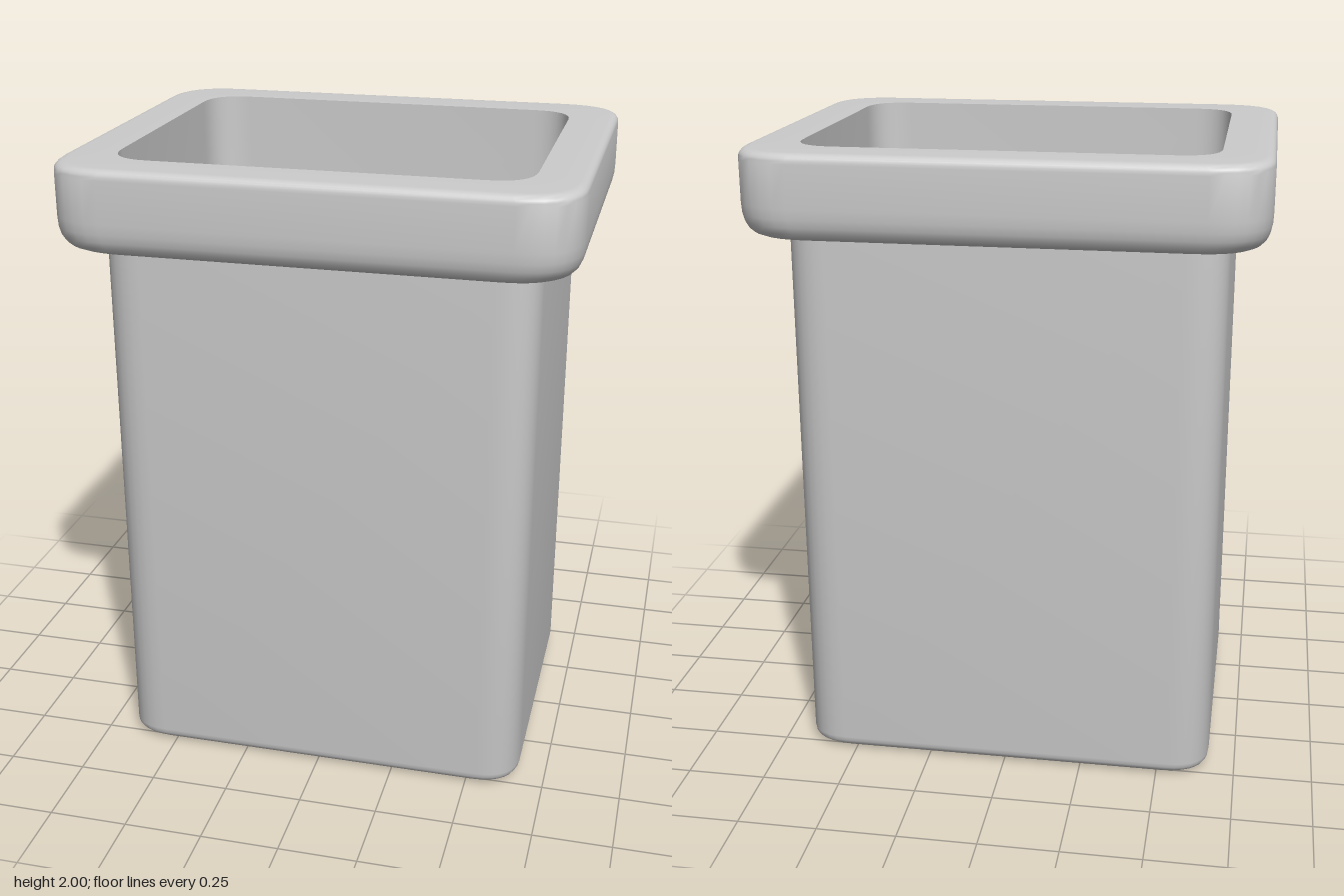
import * as THREE from 'three';
import { toCreasedNormals } from 'three/addons/utils/BufferGeometryUtils.js';

const HX = 0.785, HZ = 0.66; // half sizes at the outside of the rim
const STEPS = 8;

// Rounded-rectangle ring, pulled in from the rim's outline by inset
function ring(inset, y, r) {
  const hx = HX - inset, hz = HZ - inset, pts = [];
  [[1, 1], [-1, 1], [-1, -1], [1, -1]].forEach(([sx, sz]) => {
    const side = new THREE.Vector2(sx * hx, sz * (hz - r));
    const face = new THREE.Vector2(sx * (hx - r), sz * hz);
    const corner = new THREE.Vector2(sx * hx, sz * hz);
    const [from, to] = sx * sz > 0 ? [side, face] : [face, side];
    new THREE.QuadraticBezierCurve(from, corner, to).getPoints(STEPS)
      .forEach(p => pts.push([p.x, y, p.y]));
  });
  return pts;
}

// Surface through rings [inset, y, cornerRadius]; optional flat caps at either end
function loft(name, profile, capStart, capEnd) {
  const rings = profile.map(([i, y, r]) => ring(i, y, r));
  const n = rings[0].length, pos = [];
  const last = rings.length - 1;
  for (let j = 0; j < n; j++) {
    const k = (j + 1) % n;
    if (capStart) pos.push(0, profile[0][1], 0, ...rings[0][j], ...rings[0][k]);
    for (let i = 0; i < last; i++) {
      const a = rings[i][j], b = rings[i + 1][j], c = rings[i][k], d = rings[i + 1][k];
      pos.push(...a, ...b, ...c, ...b, ...d, ...c);
    }
    if (capEnd) pos.push(...rings[last][j], 0, profile[last][1], 0, ...rings[last][k]);
  }
  const geo = new THREE.BufferGeometry();
  geo.setAttribute('position', new THREE.Float32BufferAttribute(pos, 3));
  const mesh = new THREE.Mesh(toCreasedNormals(geo, 0.7),
    new THREE.MeshStandardMaterial({ color: 0xcccccc, side: THREE.DoubleSide }));
  mesh.name = name;
  return mesh;
}

// Rounded profile edge between two [inset, y] points around a corner point
function bend(from, corner, to, r) {
  const v = p => new THREE.Vector2(...p);
  return new THREE.QuadraticBezierCurve(v(from), v(corner), v(to))
    .getPoints(6).map(p => [p.x, p.y, r]);
}

export function createModel() {
  const group = new THREE.Group();
  group.name = 'container';

  // Outer walls with a softened bottom edge
  group.add(loft('body', [
    ...bend([0.19, 0], [0.12, 0], [0.12, 0.045], 0.13),
    [0.12, 1.74, 0.13],
  ], true, false));

  // Projecting collar: underside, rounded lower edge, side, flat top
  group.add(loft('rim', [
    [0.12, 1.74, 0.13],
    ...bend([0.06, 1.74], [0, 1.74], [0, 1.84], 0.18),
    ...bend([0, 1.97], [0, 2], [0.03, 2], 0.18),
    [0.155, 2, 0.13],
  ], false, false));

  // Inner walls and floor
  group.add(loft('interior', [
    [0.155, 2, 0.13],
    ...bend([0.155, 0.08], [0.155, 0.035], [0.2, 0.035], 0.13),
  ], false, true));

  return group;
}
